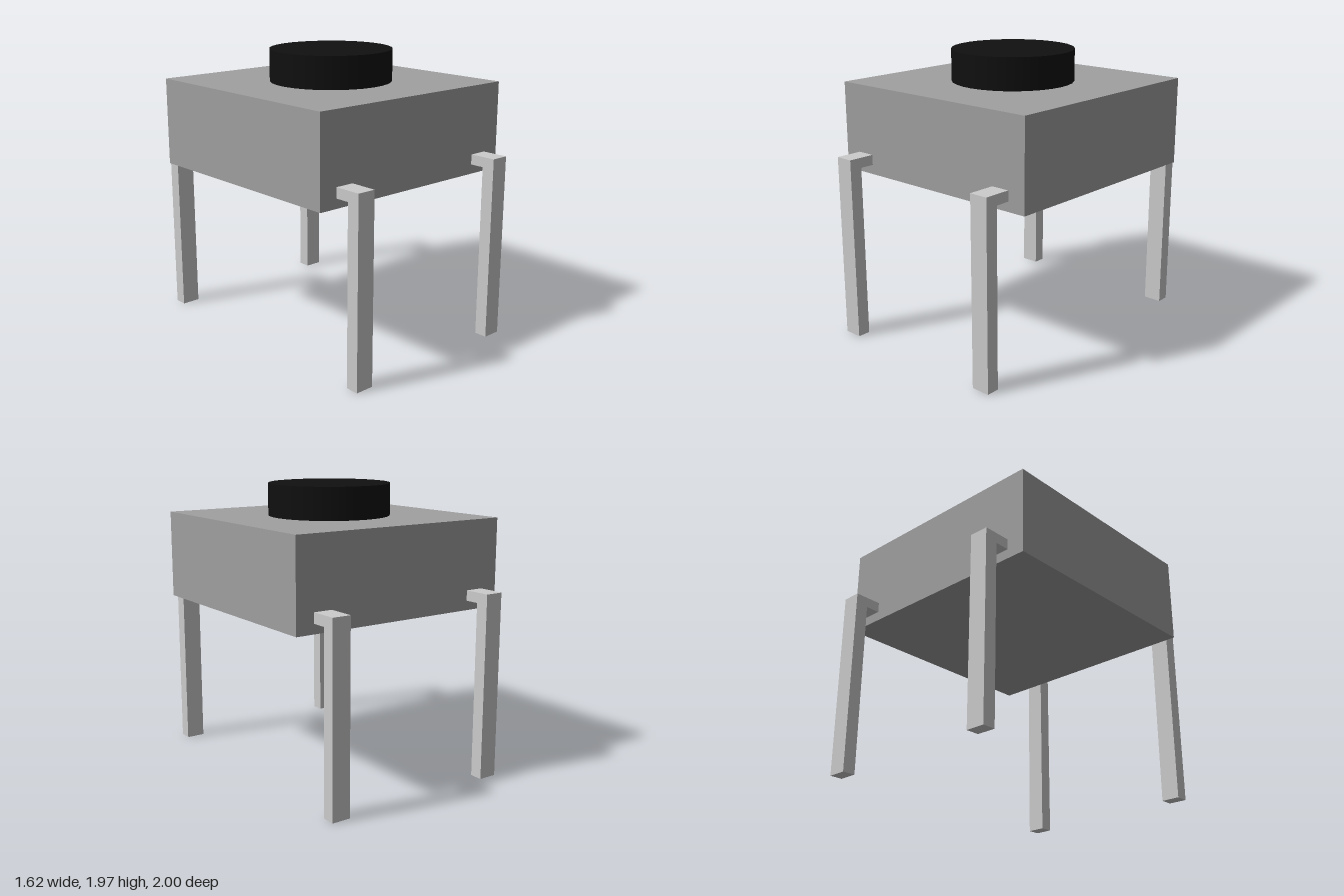
import * as THREE from 'three';

const BODY_HALF = 0.81, BODY_BOTTOM = 1.14, BODY_TOP = 1.745;
const CAP_RADIUS = 0.42, CAP_TOP = 1.965;
const PIN_X = 0.617, PIN_WIDTH = 0.13, PIN_TOP = 1.275;

export function createModel() {
  const model = new THREE.Group();
  model.name = 'pushButtonSwitch';

  const bodyMaterial = new THREE.MeshStandardMaterial({ color: 0xa0a0a0 });
  const capMaterial = new THREE.MeshStandardMaterial({ color: 0x101010 });
  const pinMaterial = new THREE.MeshStandardMaterial({ color: 0xcccccc });

  const add = (name, geometry, material, y = 0) => {
    const mesh = new THREE.Mesh(geometry, material);
    mesh.name = name;
    mesh.position.y = y;
    model.add(mesh);
    return mesh;
  };

  // Square housing
  const bodyHeight = BODY_TOP - BODY_BOTTOM;
  add('body', new THREE.BoxGeometry(2 * BODY_HALF, bodyHeight, 2 * BODY_HALF),
    bodyMaterial, BODY_BOTTOM + bodyHeight / 2);

  // Round button on top
  const capHeight = CAP_TOP - BODY_TOP;
  add('button', new THREE.CylinderGeometry(CAP_RADIUS, CAP_RADIUS, capHeight, 32),
    capMaterial, BODY_TOP + capHeight / 2);

  // Bent pin: side profile drawn with outward distance as x, then turned to face +z
  const profile = new THREE.Shape([
    [BODY_HALF, 1.205], [0.91, 1.205], [0.91, 0],
    [1, 0], [1, PIN_TOP], [BODY_HALF, PIN_TOP],
  ].map(([d, y]) => new THREE.Vector2(d, y)));
  const pinGeometry = new THREE.ExtrudeGeometry(profile, { depth: PIN_WIDTH, bevelEnabled: false })
    .translate(0, 0, -PIN_WIDTH / 2)
    .rotateY(-Math.PI / 2);

  // Two pins at the front, two at the back
  for (const [end, turn] of [['front', 0], ['back', Math.PI]]) {
    for (const [side, sign] of [['Left', 1], ['Right', -1]]) {
      const pin = add(`${end}${side}Pin`, pinGeometry, pinMaterial);
      pin.position.x = sign * PIN_X;
      pin.rotation.y = turn;
    }
  }

  return model;
}
